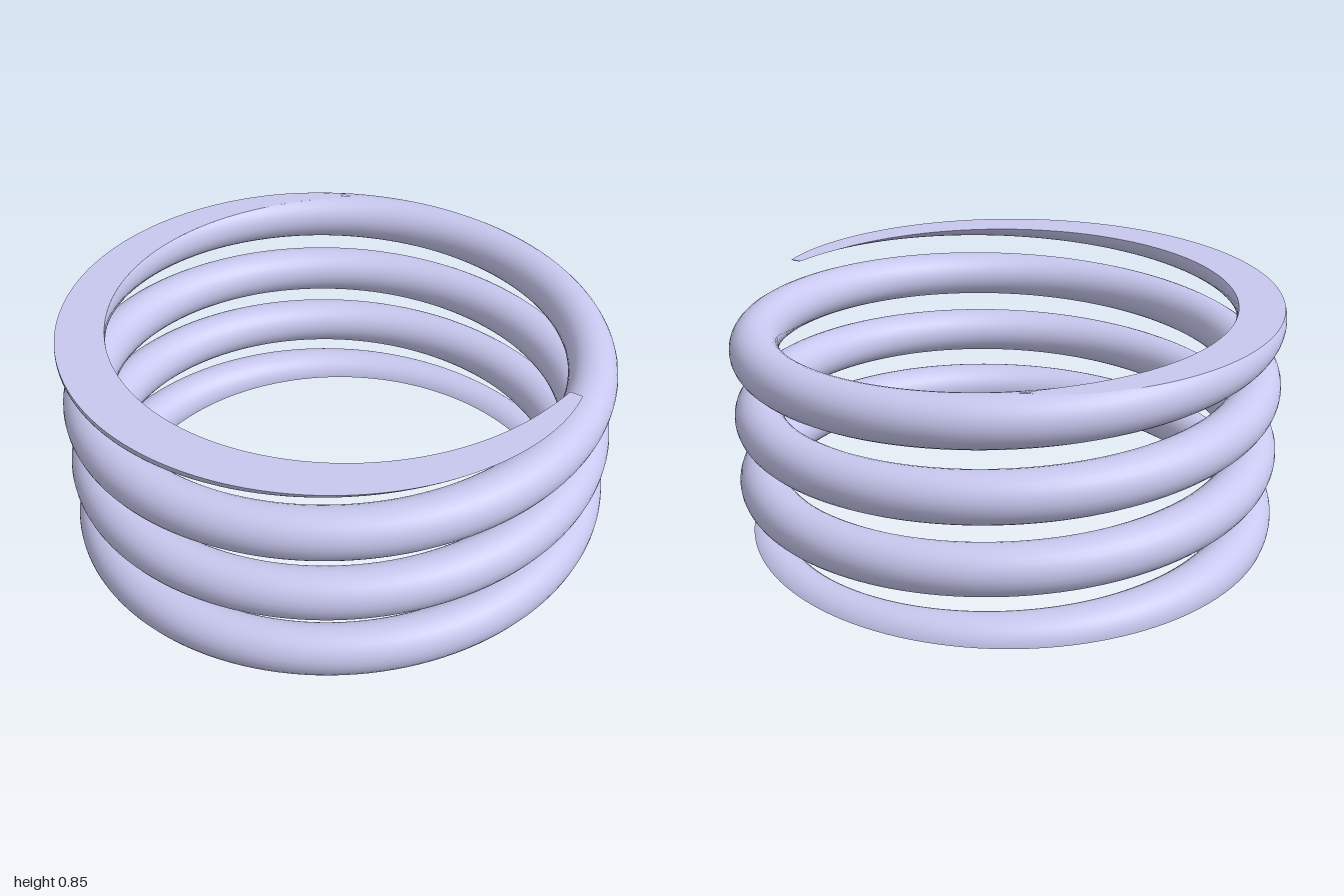
import * as THREE from 'three';
import { mergeGeometries } from 'three/addons/utils/BufferGeometryUtils.js';

const COIL_R = 0.9115, WIRE_R = 0.0875, HEIGHT = 0.85;
const PITCH = 0.2583, Y_START = -0.079;
const T_END = Math.PI * 2 * 4 - THREE.MathUtils.degToRad(27.3);

const centreY = (t) => Y_START + (PITCH * t) / (Math.PI * 2);
const timeAt = (y) => ((y - Y_START) / PITCH) * Math.PI * 2;

// Angles on the wire's round section where the ground planes cut it
function cuts(t) {
  const limit = (y) => Math.asin(THREE.MathUtils.clamp((y - centreY(t)) / WIRE_R, -1, 1));
  return { low: limit(0), high: limit(HEIGHT) };
}

// Point on the wire surface: t along the helix, phi around the section (0 = outward)
function wirePoint(t, phi) {
  const r = COIL_R + WIRE_R * Math.cos(phi);
  return new THREE.Vector3(r * Math.cos(t), centreY(t) + WIRE_R * Math.sin(phi), -r * Math.sin(t));
}

const wireNormal = (t, phi) =>
  new THREE.Vector3(Math.cos(phi) * Math.cos(t), Math.sin(phi), -Math.cos(phi) * Math.sin(t));

// Surface patch from a function (u, v) => [point, normal]
function patch(nu, nv, fn) {
  const pos = [], nor = [], idx = [];
  for (let i = 0; i <= nu; i++) {
    for (let j = 0; j <= nv; j++) {
      const [p, n] = fn(i / nu, j / nv);
      pos.push(p.x, p.y, p.z);
      nor.push(n.x, n.y, n.z);
      if (i < nu && j < nv) {
        const a = i * (nv + 1) + j, b = a + nv + 1;
        idx.push(a, b, b + 1, a, b + 1, a + 1);
      }
    }
  }
  const g = new THREE.BufferGeometry();
  g.setAttribute('position', new THREE.Float32BufferAttribute(pos, 3));
  g.setAttribute('normal', new THREE.Float32BufferAttribute(nor, 3));
  g.setIndex(idx);
  return g;
}

// Rounded outer or inner half of the wire
function wireHalf(inner) {
  return patch(560, 14, (u, v) => {
    const t = u * T_END;
    const { low, high } = cuts(t);
    const phi = inner
      ? THREE.MathUtils.lerp(Math.PI - high, Math.PI - low, v)
      : THREE.MathUtils.lerp(low, high, v);
    return [wirePoint(t, phi), wireNormal(t, phi)];
  });
}

// Flat ground face between the two cut edges
function groundFace(t0, t1, top) {
  const n = new THREE.Vector3(0, top ? 1 : -1, 0);
  return patch(180, 1, (u, v) => {
    const t = THREE.MathUtils.lerp(t0, t1, u);
    const phi = top ? cuts(t).high : cuts(t).low;
    const outer = wirePoint(t, phi), innerEdge = wirePoint(t, Math.PI - phi);
    return [top ? outer.lerp(innerEdge, v) : innerEdge.lerp(outer, v), n];
  });
}

// Small flat tip closing the wire
function tip(t, atStart) {
  const s = atStart ? 1 : -1;
  const n = new THREE.Vector3(Math.sin(t) * s, 0, Math.cos(t) * s);
  const { low, high } = cuts(t);
  return patch(8, 1, (u, v) => {
    const phi = THREE.MathUtils.lerp(low, high, u);
    const outer = wirePoint(t, phi), inner = wirePoint(t, Math.PI - phi);
    return [atStart ? outer.lerp(inner, v) : inner.lerp(outer, v), n];
  });
}

export function createModel() {
  const group = new THREE.Group();
  group.name = 'coilSpring';
  const material = new THREE.MeshStandardMaterial({ color: 0xc8c8f0 });
  const add = (name, geometry) => {
    const mesh = new THREE.Mesh(geometry, material);
    mesh.name = name;
    group.add(mesh);
  };

  add('coilWire', mergeGeometries([wireHalf(false), wireHalf(true)]));
  add('bottomGroundFace', groundFace(0, timeAt(WIRE_R), false));
  add('topGroundFace', groundFace(timeAt(HEIGHT - WIRE_R), T_END, true));
  add('bottomTip', tip(0, true));
  add('topTip', tip(T_END, false));
  return group;
}
